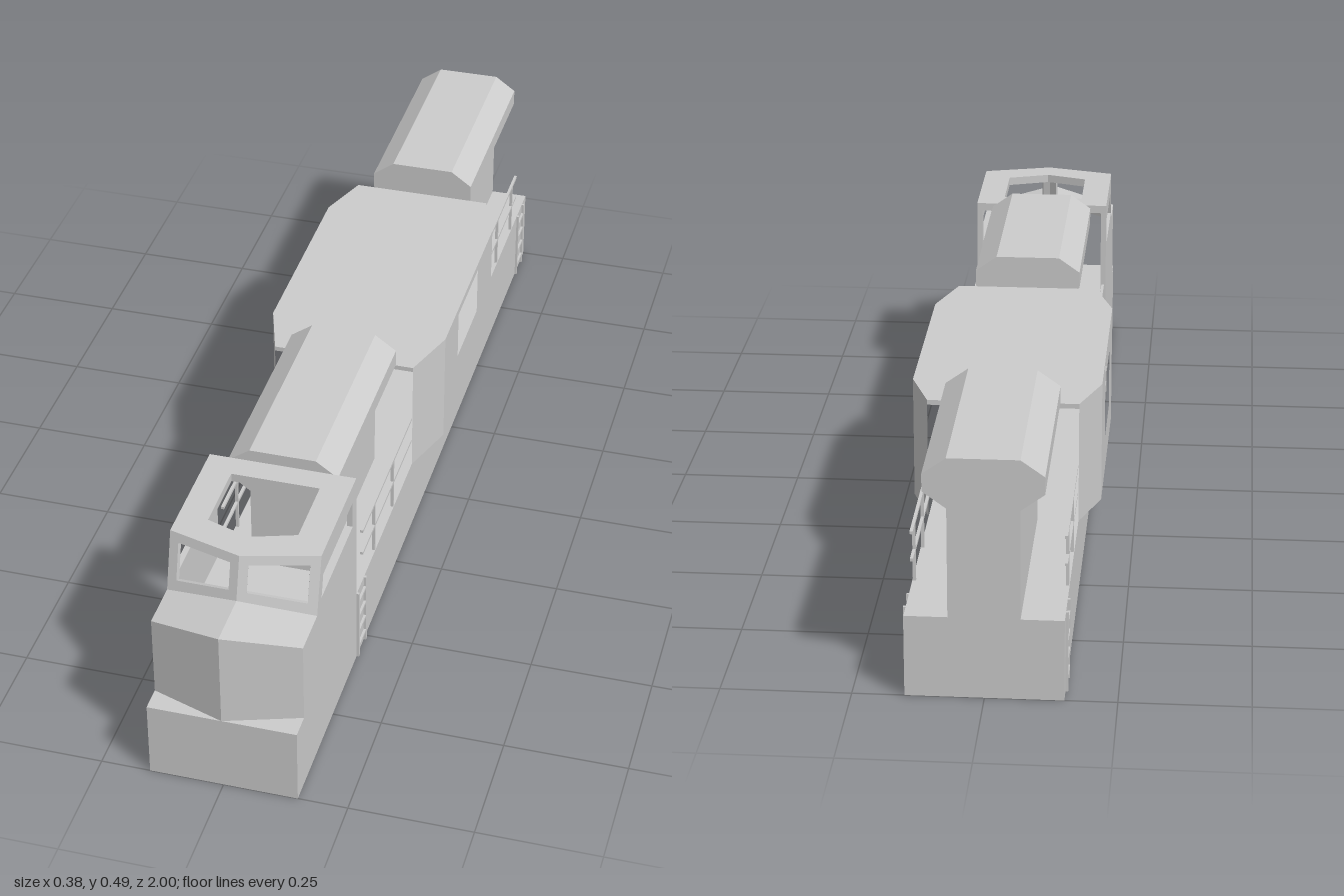
import * as THREE from 'three';

const grey = new THREE.MeshStandardMaterial({ color: 0xcccccc, flatShading: true });

// Flat plate through 3D corners (counter-clockwise from outside), thickened inwards
function plate(pts, depth = 0, hole = null) {
  const p = pts.map(a => new THREE.Vector3(...a));
  const n = new THREE.Vector3();
  for (let i = 1; i < p.length - 1; i++) {
    n.add(p[i].clone().sub(p[0]).cross(p[i + 1].clone().sub(p[0])));
  }
  n.normalize();
  const u = p[1].clone().sub(p[0]).normalize();
  const v = n.clone().cross(u);
  const flat = a => {
    const d = new THREE.Vector3(...a).sub(p[0]);
    return new THREE.Vector2(d.dot(u), d.dot(v));
  };
  const shape = new THREE.Shape(pts.map(flat));
  if (hole) shape.holes.push(new THREE.Path(hole.map(flat)));
  const geo = depth
    ? new THREE.ExtrudeGeometry(shape, { depth, bevelEnabled: false }).translate(0, 0, -depth)
    : new THREE.ShapeGeometry(shape);
  return geo.applyMatrix4(new THREE.Matrix4().makeBasis(u, v, n).setPosition(p[0]));
}

export function createModel() {
  const model = new THREE.Group();
  const add = (name, geo, parent = model) => {
    const mesh = new THREE.Mesh(geo, grey);
    mesh.name = name;
    parent.add(mesh);
    return mesh;
  };
  const group = name => {
    const g = new THREE.Group();
    g.name = name;
    model.add(g);
    return g;
  };
  const box = (name, x0, x1, y0, y1, z0, z1, parent) =>
    add(name, new THREE.BoxGeometry(x1 - x0, y1 - y0, z1 - z0)
      .translate((x0 + x1) / 2, (y0 + y1) / 2, (z0 + z1) / 2), parent);
  // A plate on the left and its mirror image on the right
  const flip = pts => pts.map(([x, y, z]) => [-x, y, z]).reverse();
  const pair = (name, pts, depth, hole, parent) => {
    add('left' + name, plate(pts, depth, hole), parent);
    add('right' + name, plate(flip(pts), depth, hole && flip(hole)), parent);
  };

  const deck = 0.165;
  box('chassis', -0.15, 0.15, 0, deck, -1, 1);

  // Engine hoods: narrow body under a wider chamfered top
  const half = [[0.068, deck], [0.068, 0.385], [0.113, 0.418], [0.113, 0.453], [0.068, 0.485]];
  const section = [...half, ...half.map(([x, y]) => [-x, y]).reverse()];
  const hoodShape = new THREE.Shape(section.map(a => new THREE.Vector2(...a)));
  for (const [name, z0, z1] of [['frontHood', 0.12, 0.57], ['rearHood', -1, -0.55]]) {
    add(name, new THREE.ExtrudeGeometry(hoodShape, { depth: z1 - z0, bevelEnabled: false })
      .translate(0, 0, z0));
  }

  // Wide middle compartment, open at both ends
  const middle = group('middleCompartment');
  const top = 0.416;
  const plan = [[0.15, 0.12], [0.19, 0], [0.19, -0.44], [0.15, -0.55]];
  const windowHole = [[0.19, 0.24, -0.12], [0.19, 0.4, -0.12], [0.19, 0.4, -0.3], [0.19, 0.24, -0.3]];
  for (let i = 0; i < 3; i++) {
    const [[xa, za], [xb, zb]] = [plan[i], plan[i + 1]];
    pair(['FrontTaper', 'SideWall', 'RearTaper'][i],
      [[xa, deck, za], [xb, deck, zb], [xb, top, zb], [xa, top, za]],
      0, i === 1 ? windowHole : null, middle);
  }
  const roofEdge = plan.map(([x, z]) => [x, top, z]);
  add('middleRoof', plate([...roofEdge, ...flip(roofEdge)], 0.01), middle);

  // Driving cab: side walls, pointed nose, raked windscreen, open roof hatch
  const cab = group('cab');
  const screen = (x, y) => [x, y, 0.885 - 0.27 * x - 0.28 * (y - 0.37)];
  pair('CabSide', [
    [0.15, deck, 0.57], [0.15, 0.46, 0.57], screen(0.15, 0.46),
    screen(0.15, 0.34), [0.15, 0.34, 0.95], [0.15, deck, 0.95],
  ], 0.012, [[0.15, 0.36, 0.597], [0.15, 0.42, 0.597], [0.15, 0.42, 0.805], [0.15, 0.36, 0.822]], cab);
  pair('NoseFront', [[0, deck, 1], [0.15, deck, 0.95], [0.15, 0.34, 0.95], [0, 0.37, 1]], 0, null, cab);
  pair('NoseTop', [[0, 0.37, 1], [0.15, 0.34, 0.95], screen(0.15, 0.34), screen(0, 0.37)], 0, null, cab);
  pair('Windscreen', [screen(0, 0.37), screen(0.15, 0.34), screen(0.15, 0.46), screen(0, 0.46)], 0.01,
    [screen(0.018, 0.386), screen(0.131, 0.365), screen(0.131, 0.441), screen(0.018, 0.441)], cab);
  const y = 0.46;
  const roofSide = [screen(0.15, y), [0.15, y, 0.57]];
  const hatchSide = [[0.09, y, 0.77], [0.09, y, 0.62]];
  add('cabRoof', plate(
    [screen(0, y), ...roofSide, ...flip(roofSide)], 0.018,
    [[0, y, 0.8], ...hatchSide, ...flip(hatchSide)]), cab);
  box('cabFloor', -0.138, 0.138, deck, 0.21, 0.575, 0.77, cab);

  // Handrails and ladders on both sides
  const r = 0.003;
  const railings = [
    ['front', 0.12, 0.515, [0.27, 0.42], 0.51],
    ['rear', -0.89, -0.55, [-0.845, -0.695], -0.96],
  ];
  for (const side of [1, -1]) {
    for (const [end, z0, z1, posts, zl] of railings) {
      const label = (side > 0 ? 'Left' : 'Right');
      const rail = group(end + label + 'Railing');
      const x = side * 0.146;
      for (const h of [0.228, 0.284]) box('rail', x - r, x + r, h - r, h + r, z0, z1, rail);
      for (const z of posts) box('railPost', x - r, x + r, deck, 0.284, z - r, z + r, rail);

      const ladder = group(end + label + 'Ladder');
      const xl = side * 0.152;
      for (const z of [zl, zl + 0.055]) box('ladderRail', xl - r, xl + r, 0, deck, z - r, z + r, ladder);
      for (let i = 0; i < 4; i++) {
        const h = 0.025 + i * 0.038;
        box('rung', xl - r, xl + r, h - r, h + r, zl, zl + 0.055, ladder);
      }
    }
  }
  return model;
}
